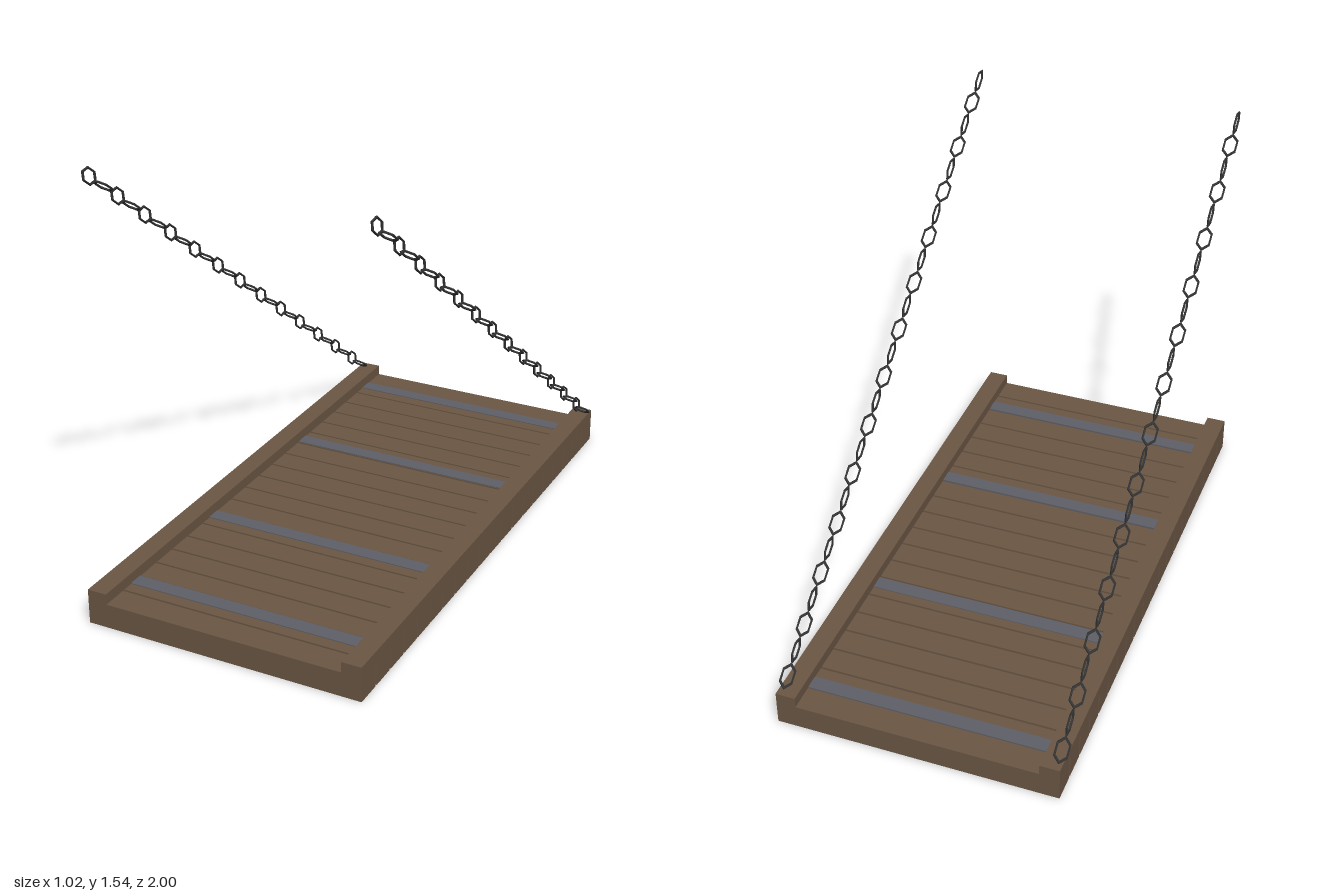
import * as THREE from 'three';

const wood = new THREE.MeshStandardMaterial({ color: 0x6b5744, flatShading: true });
const iron = new THREE.MeshStandardMaterial({ color: 0x5e6068, flatShading: true });
const darkIron = new THREE.MeshStandardMaterial({ color: 0x333333, flatShading: true });

function box(name, material, w, h, d, x, y, z) {
  const mesh = new THREE.Mesh(new THREE.BoxGeometry(w, h, d), material);
  mesh.name = name;
  mesh.position.set(x, y, z);
  return mesh;
}

// One chain of six-sided links, alternately turned a quarter, sloping down to the back
function createChain(name, x) {
  const chain = new THREE.Group();
  chain.name = name;
  const flat = new THREE.TorusGeometry(0.0245, 0.004, 5, 6).scale(1.65, 1, 1).rotateY(-Math.PI / 2);
  const turned = flat.clone().rotateZ(Math.PI / 2);
  const start = new THREE.Vector3(x, 1.507, 0.873);
  const end = new THREE.Vector3(x, 0.152, -0.935);
  const slope = Math.atan2(start.y - end.y, start.z - end.z);
  const count = 26;
  for (let i = 0; i < count; i++) {
    const link = new THREE.Mesh(i % 2 ? turned : flat, darkIron);
    link.name = 'chainLink';
    link.position.lerpVectors(start, end, i / (count - 1));
    link.rotation.x = -slope;
    chain.add(link);
  }
  return chain;
}

export function createModel() {
  const model = new THREE.Group();
  model.name = 'drawbridge';

  // Deck planks with narrow gaps
  const deck = new THREE.Group();
  deck.name = 'deck';
  const plankCount = 20, pitch = 0.1, gap = 0.008;
  for (let i = 0; i < plankCount; i++) {
    // End planks run flush with the rails
    const z0 = i === 0 ? -1 : -1 + i * pitch + gap / 2;
    const z1 = i === plankCount - 1 ? 1 : -1 + (i + 1) * pitch - gap / 2;
    deck.add(box('plank', wood, 1, 0.087, z1 - z0, 0, 0.0435, (z0 + z1) / 2));
  }
  model.add(deck);

  // Iron bands across the deck
  for (const z of [-0.875, -0.333, 0.328, 0.828]) {
    model.add(box('ironBand', iron, 0.9, 0.01, 0.054, 0, 0.085, z));
  }

  // Side rails and chains
  for (const [side, s] of [['left', 1], ['right', -1]]) {
    model.add(box(side + 'Rail', wood, 0.07, 0.038, 2, s * 0.465, 0.106, 0));
    model.add(createChain(side + 'Chain', s * 0.485));
  }
  return model;
}
